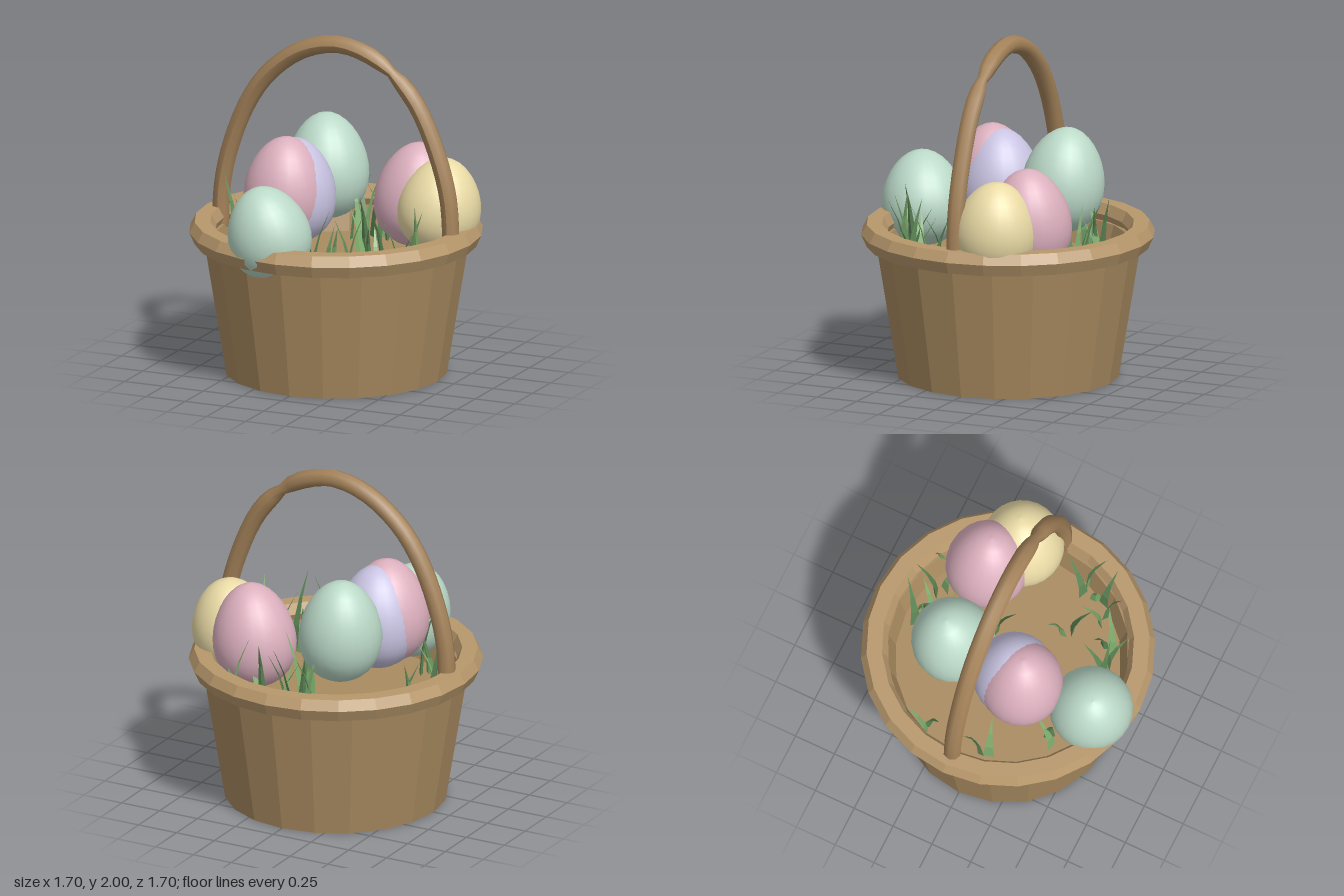
import * as THREE from 'three';

const material = (color, options = {}) => new THREE.MeshStandardMaterial({ color, ...options });

function addMesh(parent, name, geometry, mat) {
  const mesh = new THREE.Mesh(geometry, mat);
  mesh.name = name;
  parent.add(mesh);
  return mesh;
}

const lathe = (profile, sides) =>
  new THREE.LatheGeometry(profile.map(([r, y]) => new THREE.Vector2(r, y)), sides);

// Egg profile: fuller below the middle, narrower at the tip
function eggGeometry() {
  const profile = [];
  for (let i = 0; i <= 16; i++) {
    const t = (i / 16) * Math.PI;
    profile.push([Math.max(0, 0.241 * Math.sin(t) * (1 + 0.14 * Math.cos(t))), -0.31 * Math.cos(t)]);
  }
  return lathe(profile, 24);
}

// Flattened three-sided blade, rooted at its origin and curving outward
function bladeGeometry(height, bend) {
  const blade = new THREE.ConeGeometry(0.04, height, 3, 3);
  blade.translate(0, height / 2, 0);
  const p = blade.attributes.position;
  for (let i = 0; i < p.count; i++) {
    const t = p.getY(i) / height;
    p.setZ(i, p.getZ(i) * 0.3 + bend * t * t);
  }
  blade.computeVertexNormals();
  return blade;
}

// Arched handle with a pinched twist on one shoulder
function handleGeometry() {
  const curve = new THREE.CatmullRomCurve3([
    [-0.735, 0.78], [-0.72, 1.05], [-0.66, 1.3], [-0.55, 1.56], [-0.42, 1.74],
    [-0.22, 1.89], [0, 1.95], [0.2, 1.91], [0.35, 1.82], [0.5, 1.66],
    [0.62, 1.42], [0.71, 1.12], [0.735, 0.78],
  ].map(([x, y]) => new THREE.Vector3(x, y, 0)));
  const rings = 40, sides = 8;
  const tube = new THREE.TubeGeometry(curve, rings, 0.053, sides);
  const p = tube.attributes.position;
  const v = new THREE.Vector3();
  for (let i = 0; i <= rings; i++) {
    const centre = curve.getPointAt(i / rings);
    const pinch = 1 - 0.4 * Math.exp(-(((centre.x - 0.35) / 0.05) ** 2)) * (centre.y > 1.5 ? 1 : 0);
    for (let j = 0; j <= sides; j++) {
      const k = i * (sides + 1) + j;
      v.fromBufferAttribute(p, k).sub(centre).multiplyScalar(pinch).add(centre);
      p.setXYZ(k, v.x, v.y, v.z);
    }
  }
  tube.computeVertexNormals();
  return tube;
}

export function createModel() {
  const model = new THREE.Group();
  model.name = 'eggBasket';
  const bodyMat = material(0xa98b60, { flatShading: true });
  const rimMat = material(0xb8986c, { flatShading: true });

  // Tapered body with a raised floor
  addMesh(model, 'basketBody', lathe([
    [0, 0], [0.645, 0], [0.775, 0.8], [0.7, 0.8], [0.655, 0.65], [0, 0.65],
  ], 20), bodyMat);

  // Bevelled rim
  addMesh(model, 'basketRim', lathe([
    [0.73, 0.77], [0.82, 0.77], [0.852, 0.84], [0.82, 0.9], [0.73, 0.9], [0.7, 0.84], [0.73, 0.77],
  ], 24), rimMat);

  addMesh(model, 'handle', handleGeometry(), material(0xa5835a, { side: THREE.DoubleSide }));

  // Eggs: name, colour, centre, tilt about x and z, height scale
  const egg = eggGeometry();
  [
    ['backGreenEgg', 0xbbd9c8, [-0.18, 1.14, -0.27], -0.1, 0.08, 1],
    ['pinkEgg', 0xdcb0be, [-0.23, 1.11, 0.2], 0.02, -0.04, 1],
    ['lavenderEgg', 0xc9c4e2, [-0.2, 1.09, 0.14], 0, 0, 1],
    ['frontGreenEgg', 0xbbd9c8, [-0.15, 0.955, 0.61], 0.14, 0.2, 0.9],
    ['rightPinkEgg', 0xdcb0be, [0.37, 1.02, -0.31], 0.02, -0.12, 1],
    ['yellowEgg', 0xeadba6, [0.575, 1.005, -0.19], -0.1, -0.12, 0.9],
  ].forEach(([name, color, centre, tiltX, tiltZ, tall]) => {
    const mesh = addMesh(model, name, egg, material(color));
    mesh.position.set(...centre);
    mesh.rotation.set(tiltX, 0, tiltZ);
    mesh.scale.y = tall;
  });

  // Grass tufts scattered between the eggs
  const grass = new THREE.Group();
  grass.name = 'grass';
  model.add(grass);
  const greens = [0x7fae6e, 0x5f8a58].map((c) => material(c, { flatShading: true, side: THREE.DoubleSide }));
  const blades = [0.34, 0.4, 0.48].map((h) => bladeGeometry(h, 0.12));
  [
    [-0.01, -0.6], [0.36, -0.57], [-0.59, -0.22], [-0.57, 0.13], [0.58, 0.2], [0.54, 0.32],
    [0.46, 0.4], [0.32, 0.5], [0.2, 0.52], [0.1, 0.53], [0.1, -0.14], [0.07, -0.52],
    [0.21, -0.54], [-0.12, -0.52], [0.29, 0.24], [-0.34, 0.45], [0.0, -0.43],
  ].forEach(([x, z], i) => {
    for (let k = 0; k < 2; k++) {
      const n = i * 2 + k;
      const blade = addMesh(grass, 'grassBlade', blades[(n * 2 + i) % 3], greens[n % 2]);
      blade.position.set(x + 0.03 * Math.cos(n * 2.4), 0.64, z + 0.03 * Math.sin(n * 2.4));
      blade.rotation.y = n * 2.4;
    }
  });

  return model;
}
